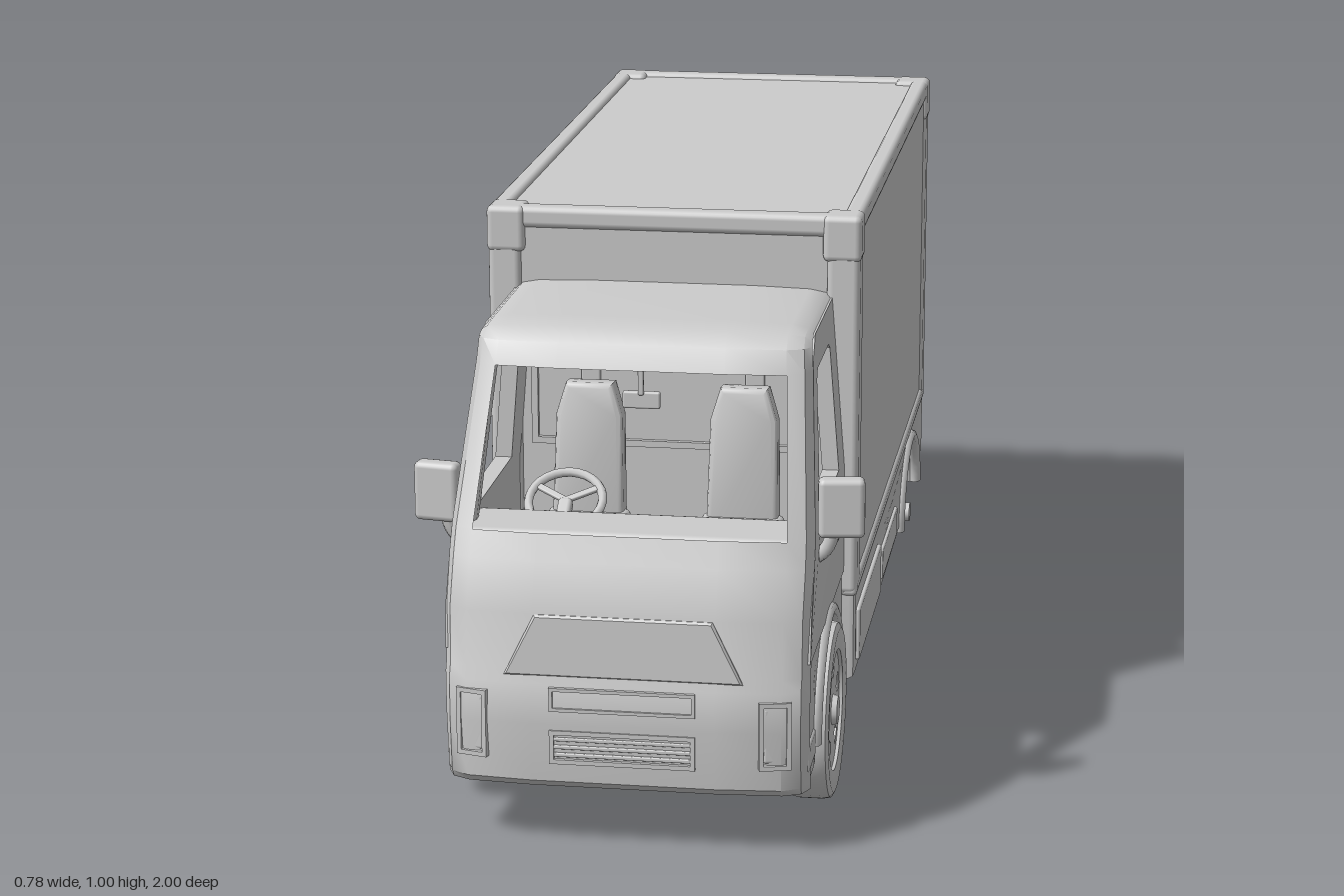
import * as THREE from 'three';
import { toCreasedNormals } from 'three/addons/utils/BufferGeometryUtils.js';
import { RoundedBoxGeometry } from 'three/addons/geometries/RoundedBoxGeometry.js';

const grey = new THREE.MeshStandardMaterial({ color: 0xcccccc, side: THREE.DoubleSide });

export function createModel() {
  const truck = new THREE.Group();
  truck.name = 'boxTruck';

  function add(name, geo, x = 0, y = 0, z = 0, parent = truck) {
    const m = new THREE.Mesh(geo, grey);
    m.name = name;
    m.position.set(x, y, z);
    parent.add(m);
    return m;
  }
  // softly rounded box
  const box = (name, w, h, d, x, y, z, parent) =>
    add(name, new RoundedBoxGeometry(w, h, d, 2, Math.min(0.012, Math.min(w, h, d) * 0.3)), x, y, z, parent);
  // one part on each side of the truck
  const pair = (build) => [1, -1].forEach((s) => build(s));

  // side-view shape (z, y) extruded across x, centred on x = 0
  function acrossX(shape, width, bevel = 0) {
    const g = new THREE.ExtrudeGeometry(shape, {
      depth: width - 2 * bevel, bevelEnabled: bevel > 0, bevelSize: bevel,
      bevelThickness: bevel, bevelOffset: -bevel, bevelSegments: 2, curveSegments: 20,
    });
    g.rotateY(-Math.PI / 2);
    g.translate(width / 2 - bevel, 0, 0);
    return toCreasedNormals(g, 0.6);
  }
  const polygon = (pts) => new THREE.Shape(pts.map((p) => new THREE.Vector2(...p)));

  // ---------- cargo box ----------
  box('cargoBody', 0.664, 0.7, 1.405, 0, 0.64, -0.285);
  pair((s) => {
    box('roofRail', 0.035, 0.04, 1.42, s * 0.3205, 0.979, -0.285);
    box('lowerRail', 0.03, 0.03, 1.42, s * 0.323, 0.305, -0.285);
    for (const z of [0.395, -0.965]) {
      box('cornerPost', 0.06, 0.7, 0.065, s * 0.3075, 0.645, z);
      box('cornerCap', 0.07, 0.085, 0.07, s * 0.305, 0.957, z);
    }
  });
  for (const z of [0.405, -0.978]) {
    box('roofCrossRail', 0.66, 0.04, 0.04, 0, 0.979, z);
    box('lowerCrossRail', 0.66, 0.04, 0.04, 0, 0.31, z);
  }

  // ---------- chassis skirt with open rear arches ----------
  const skirt = new THREE.Shape();
  skirt.moveTo(0.42, 0.3);
  skirt.lineTo(0.42, 0.13);
  skirt.lineTo(-0.48, 0.14);
  skirt.absellipse(-0.655, 0.14, 0.175, 0.135, 0, Math.PI, false);
  skirt.lineTo(-0.99, 0.165);
  skirt.lineTo(-0.995, 0.3);
  add('chassisSkirt', acrossX(skirt, 0.67, 0.012));
  box('rearBumper', 0.6, 0.06, 0.03, 0, 0.22, -0.98);
  const housing = new THREE.Shape();
  housing.absellipse(-0.655, 0.155, 0.17, 0.042, 0, Math.PI * 2);
  add('axleHousing', acrossX(housing, 0.56, 0.015));
  const axle = new THREE.CylinderGeometry(0.02, 0.02, 0.68, 12).rotateZ(Math.PI / 2);
  add('rearAxle', axle, 0, 0.125, -0.655);
  pair((s) => {
    const lip = new THREE.TorusGeometry(0.187, 0.016, 8, 24, Math.PI).rotateY(Math.PI / 2);
    lip.scale(0.8, 0.78, 1);
    add('rearArchLip', lip, s * 0.333, 0.14, -0.655);
    box('sideStep', 0.015, 0.1, 0.4, s * 0.335, 0.21, 0.2);
    box('sideTrim', 0.012, 0.06, 0.3, s * 0.335, 0.2, -0.2);
  });
  box('fuelTank', 0.12, 0.04, 0.12, -0.22, 0.125, 0.35);

  // ---------- lower cab with a wheel tunnel ----------
  const cab = new THREE.Group();
  cab.name = 'cab';
  truck.add(cab);
  const lower = polygon([[0.4, 0.37], [0.4, 0.13], [0.48, 0.13]]);
  lower.absarc(0.665, 0.16, 0.164, Math.PI + 0.17, -0.25, true);
  [[0.86, 0.115], [0.93, 0.115], [0.94, 0.37]].forEach((p) => lower.lineTo(...p));
  add('lowerCab', acrossX(lower, 0.62, 0.006), 0, 0, 0, cab);

  // cab half width at a given height
  const halfWidth = (y) => 0.314 - Math.max(0, y - 0.53) * 0.08;

  // ---------- doors with windows ----------
  pair((s) => {
    const side = polygon([[0.4, 0.34], [0.945, 0.34], [0.935, 0.42], [0.88, 0.53], [0.865, 0.56],
      [0.735, 0.82], [0.69, 0.85], [0.4, 0.85], [0.4, 0.53]]);
    side.holes.push(polygon([[0.51, 0.555], [0.51, 0.78], [0.525, 0.79], [0.69, 0.79],
      [0.71, 0.775], [0.775, 0.62], [0.78, 0.555]]));
    const g = acrossX(side, 0.03);
    const p = g.attributes.position;
    for (let i = 0; i < p.count; i++)
      p.setX(i, p.getX(i) - 0.015 + halfWidth(p.getY(i)));
    const door = add('doorPanel', toCreasedNormals(g, 0.5), 0, 0, 0, cab);
    door.scale.x = s;
    box('doorHandle', 0.012, 0.02, 0.08, s * 0.315, 0.455, 0.55, cab);
    const lip = new THREE.TorusGeometry(0.178, 0.014, 8, 28, Math.PI).rotateY(Math.PI / 2);
    add('frontArchLip', lip, s * 0.309, 0.16, 0.665, cab);
  });

  // ---------- front and roof shell: rows are [y, z, cornerDropY, cornerDropZ] ----------
  const rows = [
    [0.11, 0.975, 0, 0.05], [0.125, 0.992, 0, 0.06], [0.23, 1.0, 0, 0.055], [0.3, 0.995, 0, 0.05],
    [0.32, 0.985, 0, 0.05], [0.42, 0.98, 0, 0.05], [0.5, 0.945, 0, 0.05], [0.545, 0.925, 0, 0.05],
    [0.8, 0.795, 0, 0.045], [0.84, 0.775, 0, 0.035], [0.862, 0.74, 0.015, 0.015],
    [0.866, 0.68, 0.018, 0], [0.866, 0.4, 0.018, 0],
  ];
  const cols = [-1, -0.96, -0.86, -0.5, 0.5, 0.86, 0.96, 1];
  const pos = [], index = [];
  rows.forEach(([y, z, dy, dz]) => cols.forEach((u) => {
    const k = Math.abs(u) === 1 ? 1 : Math.abs(u) > 0.9 ? 0.45 : Math.abs(u) > 0.6 ? 0.15 : 0;
    pos.push(u * halfWidth(y), y - dy * k, z - dz * k);
  }));
  const n = cols.length;
  for (let r = 0; r < rows.length - 1; r++) {
    for (let c = 0; c < n - 1; c++) {
      if (r === 7 && c > 1 && c < 5) continue; // windscreen opening
      const a = r * n + c;
      index.push(a, a + 1, a + n, a + 1, a + n + 1, a + n);
    }
  }
  const shell = new THREE.BufferGeometry();
  shell.setAttribute('position', new THREE.Float32BufferAttribute(pos, 3));
  shell.setIndex(index);
  add('frontAndRoofShell', toCreasedNormals(shell, 0.6), 0, 0, 0, cab);

  // ---------- front details ----------
  const bonnet = polygon([[-0.2, 0], [0.2, 0], [0.15, 0.1], [-0.15, 0.1]]);
  add('bonnetPanel', new THREE.ExtrudeGeometry(bonnet, { depth: 0.008, bevelSize: 0.004,
    bevelThickness: 0.004, bevelSegments: 1 }), 0, 0.315, 0.979, cab).rotation.x = -0.05;
  // rectangular frame with an open centre, facing forward
  function frame(name, w, h, t, x, y, z) {
    const rect = (a, b) => [[-a, -b], [a, -b], [a, b], [-a, b]];
    const s = polygon(rect(w / 2, h / 2));
    s.holes.push(polygon(rect(w / 2 - t, h / 2 - t)));
    return add(name, new THREE.ExtrudeGeometry(s, { depth: 0.012, bevelEnabled: false }), x, y, z, cab);
  }
  frame('upperGrille', 0.25, 0.042, 0.006, 0, 0.275, 0.99);
  frame('lowerGrille', 0.25, 0.06, 0.008, 0, 0.19, 0.99);
  for (let i = -1; i <= 1; i++) box('grilleBar', 0.235, 0.007, 0.01, 0, 0.19 + i * 0.014, 0.996, cab);
  pair((s) => {
    frame('headlightFrame', 0.055, 0.12, 0.008, s * 0.258, 0.225, 0.982).rotation.y = s * 0.25;
    box('headlight', 0.042, 0.1, 0.02, s * 0.258, 0.225, 0.978, cab).rotation.y = s * 0.25;
    box('bumperCorner', 0.02, 0.05, 0.09, s * 0.304, 0.17, 0.9, cab);
    // door mirrors
    box('mirror', 0.08, 0.105, 0.035, s * 0.35, 0.58, 0.815, cab).rotation.y = s * 0.15;
    const arm = new THREE.CatmullRomCurve3([new THREE.Vector3(s * 0.3, 0.48, 0.8),
      new THREE.Vector3(s * 0.325, 0.505, 0.81), new THREE.Vector3(s * 0.34, 0.55, 0.815)]);
    add('mirrorArm', new THREE.TubeGeometry(arm, 8, 0.012, 8), 0, 0, 0, cab);
  });

  // ---------- interior ----------
  const back = polygon([[-0.3, 0.36], [0.3, 0.36], [0.28, 0.85], [-0.28, 0.85]]);
  add('cabBackWall', new THREE.ExtrudeGeometry(back, { depth: 0.02, bevelEnabled: false }), 0, 0, 0.4, cab);
  frame('rearWindowFrame', 0.52, 0.2, 0.012, 0, 0.66, 0.418);
  box('dashboard', 0.58, 0.15, 0.13, 0, 0.468, 0.84, cab);
  pair((s) => {
    box('rearWindowPost', 0.035, 0.2, 0.012, s * 0.15, 0.66, 0.425, cab);
    const seat = polygon([[-0.055, 0], [0.055, 0], [0.05, 0.2], [0.035, 0.25], [-0.035, 0.25], [-0.05, 0.2]]);
    const g = new THREE.ExtrudeGeometry(seat, { depth: 0.035, bevelSize: 0.01, bevelThickness: 0.01, bevelSegments: 2 });
    const rest = add('seatBack', toCreasedNormals(g, 0.8), s * 0.14, 0.435, 0.49, cab);
    rest.rotation.x = -0.1;
    box('seatCushion', 0.15, 0.09, 0.17, s * 0.14, 0.42, 0.58, cab);
  });
  const steer = add('steeringWheel', new THREE.TorusGeometry(0.065, 0.008, 8, 28), -0.14, 0.55, 0.745, cab);
  steer.rotation.x = -1.0;
  for (let i = 0; i < 3; i++) {
    const spoke = box('steeringSpoke', 0.012, 0.065, 0.008, 0, 0, 0, steer);
    spoke.geometry.translate(0, 0.032, 0);
    spoke.rotation.z = (i * Math.PI * 2) / 3 + Math.PI;
  }
  box('steeringColumn', 0.025, 0.025, 0.1, -0.14, 0.52, 0.78, cab).rotation.x = 0.57;
  box('rearViewMirror', 0.065, 0.03, 0.012, 0, 0.745, 0.775, cab);
  box('rearViewMirrorStem', 0.01, 0.06, 0.01, 0, 0.785, 0.782, cab);

  // ---------- front wheels ----------
  const tyreProfile = [[0.108, -0.036], [0.145, -0.039], [0.155, -0.034], [0.158, -0.02],
    [0.158, 0.02], [0.155, 0.034], [0.145, 0.039], [0.108, 0.036], [0.104, 0.02], [0.104, -0.02],
    [0.108, -0.036]].map((p) => new THREE.Vector2(...p));
  const tyre = (start, length) =>
    toCreasedNormals(new THREE.LatheGeometry(tyreProfile, 40, start, length).rotateZ(Math.PI / 2), 0.7);

  const leftWheel = new THREE.Group();
  leftWheel.name = 'leftFrontWheel';
  leftWheel.position.set(0.292, 0.159, 0.665);
  truck.add(leftWheel);
  add('tyre', tyre(0, Math.PI * 2), 0, 0, 0, leftWheel);
  const rim = new THREE.Shape().absarc(0, 0, 0.112, 0, Math.PI * 2);
  for (let i = 0; i < 5; i++) {
    const a = (i * Math.PI * 2) / 5 + Math.PI / 2, at = (r, d) => [r * Math.cos(a + d), r * Math.sin(a + d)];
    rim.holes.push(polygon([at(0.06, -0.13), at(0.09, -0.22), at(0.09, 0.22), at(0.06, 0.13)]));
  }
  add('rim', acrossX(rim, 0.02), 0.02, 0, 0, leftWheel);
  add('hub', new THREE.CylinderGeometry(0.03, 0.025, 0.02, 16).rotateZ(Math.PI / 2), 0.03, 0, 0, leftWheel);

  // right wheel is a bare tyre, open at the bottom
  add('rightFrontTyre', tyre(Math.PI * 1.5 + 0.25, Math.PI * 2 - 0.5), -0.292, 0.159, 0.665);

  return truck;
}
